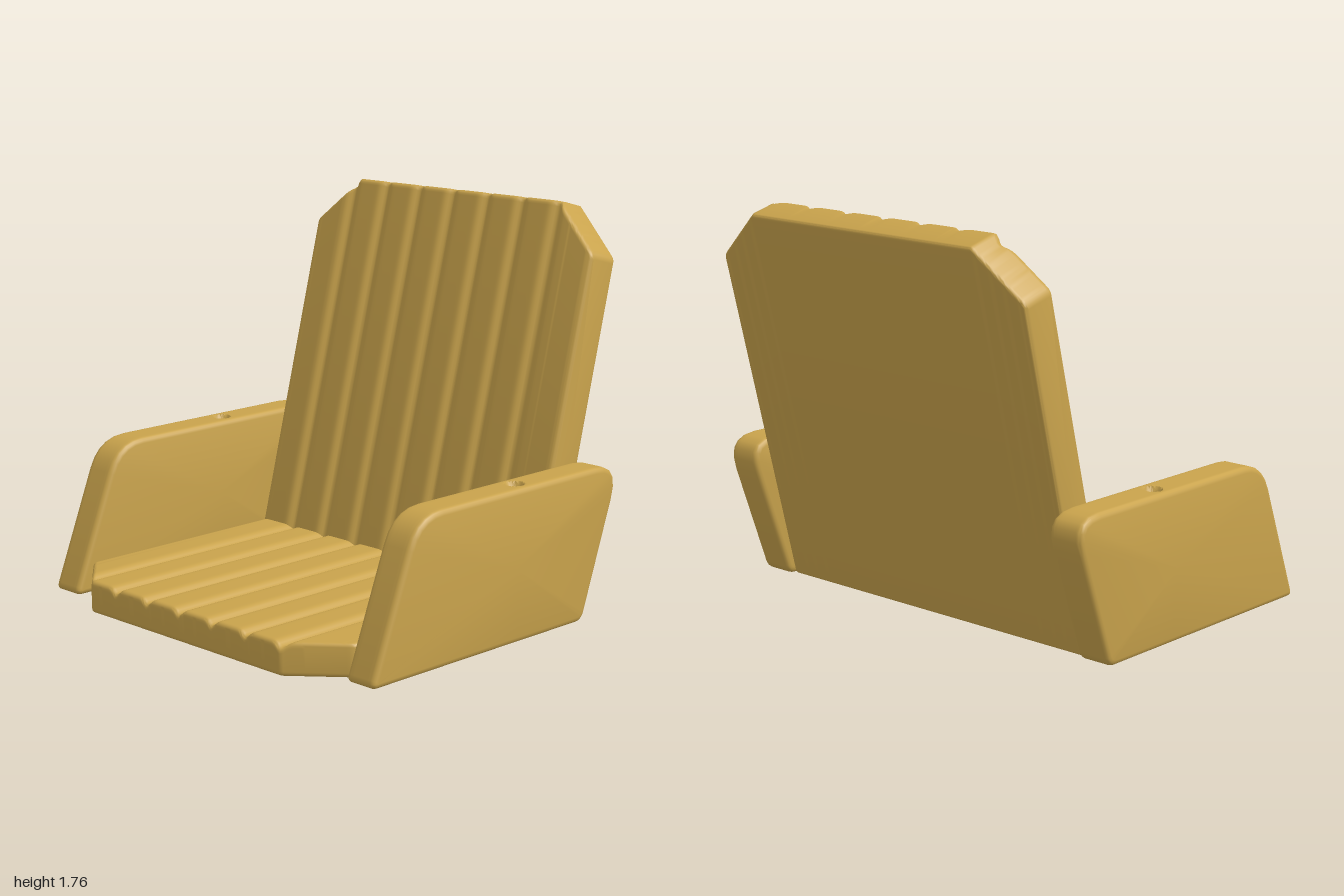
import * as THREE from 'three';
import { toCreasedNormals } from 'three/addons/utils/BufferGeometryUtils.js';

const wood = new THREE.MeshStandardMaterial({ color: 0xc9a34c });
wood.name = 'honeyWood';

// Rounds the corners [z, y, radius] of a polygon; radius 0 keeps the point.
function roundPolygon(corners) {
  const out = [];
  const n = corners.length;
  corners.forEach(([z, y, r], i) => {
    const p = new THREE.Vector2(z, y);
    if (!r) { out.push(p); return; }
    const along = (c) => new THREE.Vector2(c[0], c[1]).sub(p).setLength(r).add(p);
    const a = along(corners[(i + n - 1) % n]);
    const b = along(corners[(i + 1) % n]);
    out.push(...new THREE.QuadraticBezierCurve(a, p, b).getPoints(5));
  });
  return THREE.ShapeUtils.area(out) < 0 ? out.reverse() : out;
}

// Moves a counter-clockwise outline inwards by d.
function inset(ring, d) {
  const n = ring.length;
  return ring.map((p, i) => {
    const t = ring[(i + 1) % n].clone().sub(ring[(i + n - 1) % n]).normalize();
    return new THREE.Vector2(p.x - t.y * d, p.y + t.x * d);
  });
}

// Joins (z, y) outlines placed along x, with closed, softened ends.
function loft(xs, ringAt, bevel, displace = () => 0) {
  const lo = xs[0], hi = xs[xs.length - 1];
  const columns = [];
  for (const x of xs) {
    // quarter-round the two ends
    const e = Math.max(0, bevel - Math.min(x - lo, hi - x)) / bevel;
    const ring = ringAt(x);
    columns.push(e > 0 ? inset(ring, bevel * (1 - Math.sqrt(1 - e * e))) : ring);
  }
  const n = columns[0].length;
  const pos = [], idx = [];
  columns.forEach((ring, i) => ring.forEach((p) => {
    pos.push(xs[i], p.y + displace(xs[i], p.y, p.x), p.x);
  }));
  for (let i = 0; i < xs.length - 1; i++) {
    for (let j = 0; j < n; j++) {
      const a = i * n + j, b = i * n + (j + 1) % n;
      idx.push(a, a + n, b, b, a + n, b + n);
    }
  }
  // end caps
  [0, xs.length - 1].forEach((col, side) => {
    const c = columns[col].reduce((s, p) => s.add(p), new THREE.Vector2()).divideScalar(n);
    const centre = pos.length / 3;
    pos.push(xs[col], c.y, c.x);
    for (let j = 0; j < n; j++) {
      const a = col * n + j, b = col * n + (j + 1) % n;
      if (side) idx.push(centre, b, a); else idx.push(centre, a, b);
    }
  });
  const g = new THREE.BufferGeometry();
  g.setAttribute('position', new THREE.Float32BufferAttribute(pos, 3));
  g.setIndex(idx);
  return toCreasedNormals(g, 0.75);
}

// Columns across a width, closer together at the rounded ends.
function columnsAcross(lo, hi, count, bevel) {
  const ends = [0, 0.12, 0.35, 0.65].map((k) => k * bevel);
  const xs = ends.map((e) => lo + e);
  for (let i = 0; i <= count; i++) xs.push(lo + bevel + (hi - lo - 2 * bevel) * i / count);
  return xs.concat(ends.reverse().map((e) => hi - e));
}

// Grooves between the eight boards
const seams = [-3, -2, -1, 0, 1, 2, 3].map((k) => k * 0.207 - 0.02);
const groove = (x) => seams.reduce((s, c) => s + 0.024 * Math.exp(-(((x - c) / 0.024) ** 2)), 0);

// Boarded slab: base edge b0-b1, far edge e0-e1, grooved on the b1-e1 face.
function boardedPanel(name, halfWidth, chamferX, chamferLength, b0, e0, e1, b1) {
  const v = (p) => new THREE.Vector2(...p);
  const [B0, E0, E1, B1] = [b0, e0, e1, b1].map(v);
  const ringAt = (x) => {
    const cut = Math.max(0, Math.abs(x) - chamferX) / (halfWidth - chamferX) * chamferLength;
    const k = cut / E0.distanceTo(B0);
    const p0 = E0.clone().lerp(B0, k), p1 = E1.clone().lerp(B1, k);
    const g = groove(x) / E0.distanceTo(E1);
    const q1 = p1.lerp(p0, g), c1 = B1.clone().lerp(B0, g);
    return roundPolygon([[B0.x, B0.y, 0.015], [p0.x, p0.y, 0.02], [q1.x, q1.y, 0.025], [c1.x, c1.y, 0.015]]);
  };
  const mesh = new THREE.Mesh(loft(columnsAcross(-halfWidth, halfWidth, 168, 0.02), ringAt, 0.02), wood);
  mesh.name = name;
  return mesh;
}

// Slanted armrest with a shallow round socket in its top and underside
function armrest(name, lo, hi, shiftZ) {
  const holeZ = -0.135, holeX = (lo + hi) / 2;
  const bottom = 0.022, top = 0.677;
  const steps = Array.from({ length: 15 }, (_, i) => holeZ + (i - 7) * 0.009);
  const ring = roundPolygon([
    [-0.49, bottom, 0.04],
    ...steps.map((z) => [z, bottom, 0]),
    [0.785 + shiftZ, bottom, 0.04],
    [0.52 + shiftZ, top, 0.14],
    ...steps.slice().reverse().map((z) => [z, top, 0]),
    [-0.735, top, 0.17],
  ]);
  const socket = (x, y, z) => {
    const depth = 0.04 * (1 - THREE.MathUtils.smoothstep(Math.hypot(x - holeX, z - holeZ), 0.026, 0.044));
    return y > 0.6 ? -depth : y < 0.1 ? depth : 0;
  };
  const mesh = new THREE.Mesh(loft(columnsAcross(lo, hi, 14, 0.025), () => ring, 0.025, socket), wood);
  mesh.name = name;
  return mesh;
}

export function createModel() {
  const model = new THREE.Group();
  model.name = 'boardedChair';
  const chair = new THREE.Group();
  chair.name = 'chairBody';
  chair.rotation.z = 0.014; // slight sideways lean
  model.add(chair);

  chair.add(boardedPanel('seat', 0.835, 0.6, 0.2,
    [-0.455, 0.022], [0.9, 0.022], [0.9, 0.165], [-0.42, 0.165]));
  chair.add(boardedPanel('backrest', 0.84, 0.605, 0.21,
    [-0.458, 0.022], [-0.91, 1.718], [-0.75, 1.762], [-0.29, 0.06]));
  chair.add(armrest('leftArmrest', 0.835, 0.993, -0.012));
  chair.add(armrest('rightArmrest', -0.998, -0.835, 0.018));
  return model;
}
